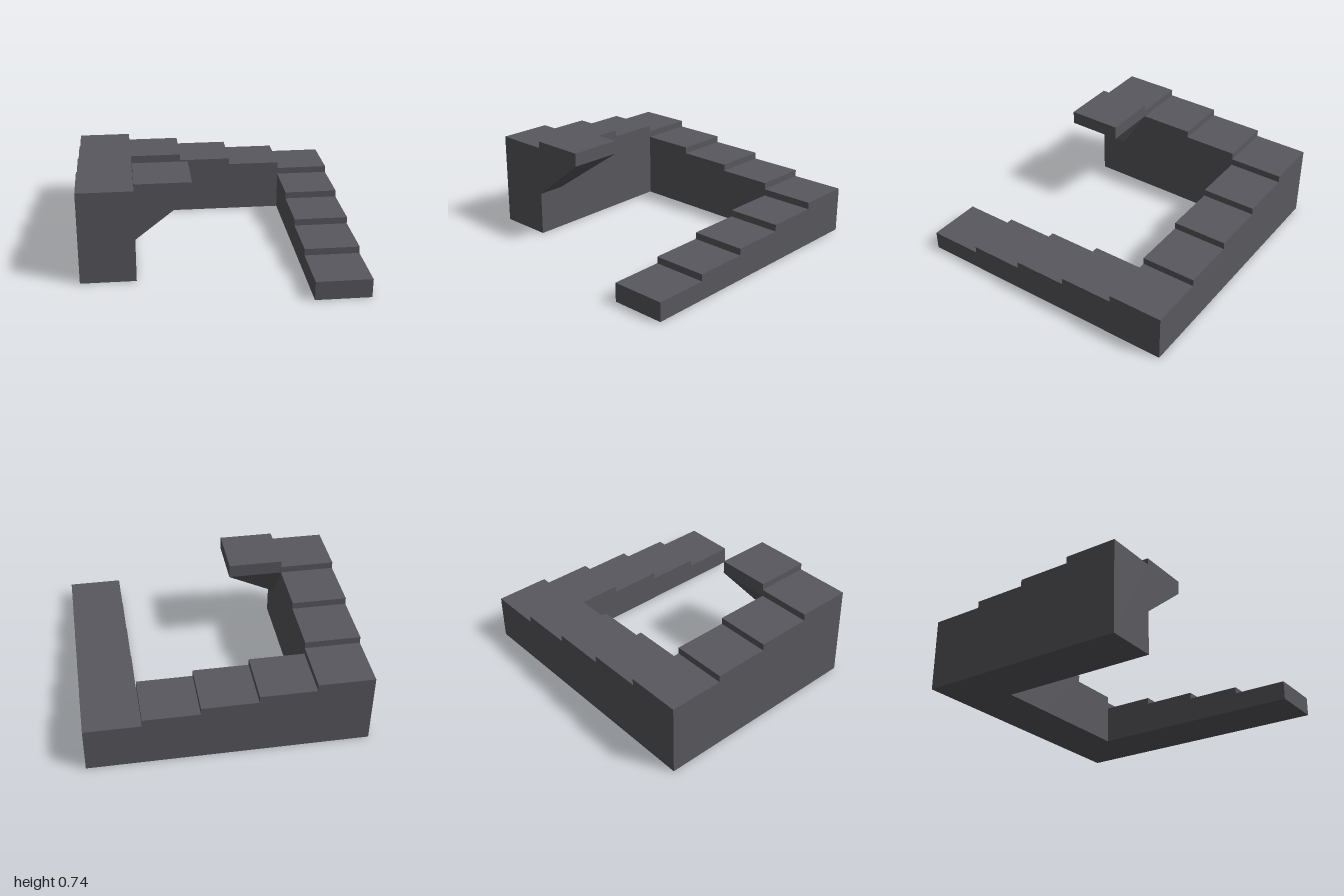
import * as THREE from 'three';
import { ConvexGeometry } from 'three/addons/geometries/ConvexGeometry.js';

const CELL = 0.4; // footprint of one step
const FIRST = 0.139; // height of the lowest step
const RISE = 0.05;

export function createModel() {
  const stone = new THREE.MeshStandardMaterial({ color: 0x59585e });
  stone.name = 'darkStone';
  const group = new THREE.Group();
  group.name = 'spiralStairs';

  const add = (name, geometry, x = 0, y = 0, z = 0) => {
    const mesh = new THREE.Mesh(geometry, stone);
    mesh.name = name;
    mesh.position.set(x, y, z);
    group.add(mesh);
  };

  // Solid steps climb along the left side, the back, then the right side
  const path = [];
  for (let i = 0; i < 5; i++) path.push([0.8, 0.8 - i * CELL]);
  for (let i = 1; i < 5; i++) path.push([0.8 - i * CELL, -0.8]);
  for (let i = 1; i < 4; i++) path.push([-0.8, -0.8 + i * CELL]);
  path.forEach(([x, z], i) => {
    const h = FIRST + i * RISE;
    add(`step${i + 1}`, new THREE.BoxGeometry(CELL, h, CELL), x, h / 2, z);
  });

  // Overhanging top landing
  const top = FIRST + path.length * RISE;
  const under = top - 0.1;
  add('landing', new THREE.BoxGeometry(CELL, 0.1, CELL), -0.4, top - 0.05, 0.4);

  // Tapered bracket carrying the landing
  const foot = 0.323;
  add('landingBracket', new ConvexGeometry([
    [-0.6, foot, 0.6], [-0.6, foot, 0.4],
    [-0.6, under, 0.6], [-0.6, under, 0.2],
    [-0.2, under, 0.6], [-0.2, under, 0.2],
  ].map((p) => new THREE.Vector3(...p))));

  return group;
}
